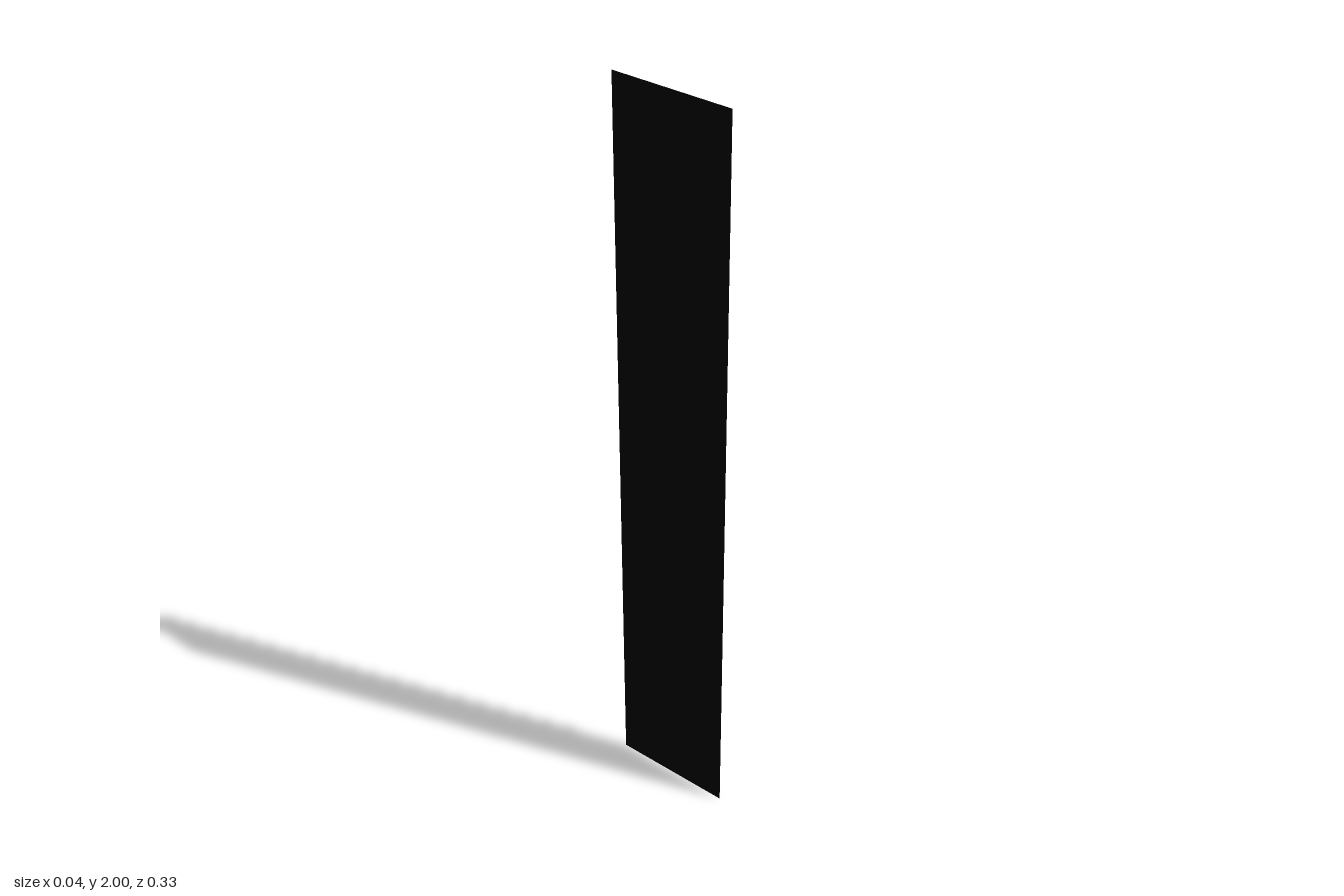
import * as THREE from 'three';

const HEIGHT = 2, WIDTH = 0.333;
const WALL_X = -0.021;          // plane of the wall
const ROD = 0.0053;             // rung rod radius
const BAR_X = 0.021 - ROD;      // centreline of the grip bar
const HALF = 0.0855 - ROD;      // centreline of each leg
const BEND = 0.007;             // corner radius of the rod
const RUNGS = 20, FIRST = 0.333, STEP = 1 / 12;

// Staple-shaped path: leg out of the wall, grip bar, leg back in
function rungPath() {
  const v = (x, z) => new THREE.Vector3(x, 0, z);
  const path = new THREE.CurvePath();
  path.add(new THREE.LineCurve3(v(WALL_X, -HALF), v(BAR_X - BEND, -HALF)));
  path.add(new THREE.QuadraticBezierCurve3(v(BAR_X - BEND, -HALF), v(BAR_X, -HALF), v(BAR_X, -HALF + BEND)));
  path.add(new THREE.LineCurve3(v(BAR_X, -HALF + BEND), v(BAR_X, HALF - BEND)));
  path.add(new THREE.QuadraticBezierCurve3(v(BAR_X, HALF - BEND), v(BAR_X, HALF), v(BAR_X - BEND, HALF)));
  path.add(new THREE.LineCurve3(v(BAR_X - BEND, HALF), v(WALL_X, HALF)));
  return path;
}

export function createModel() {
  const model = new THREE.Group();
  model.name = 'wallLadder';
  const black = new THREE.MeshStandardMaterial({ color: 0x000000, side: THREE.DoubleSide });

  // Thin wall panel, facing +x
  const wall = new THREE.Mesh(new THREE.PlaneGeometry(WIDTH, HEIGHT), black);
  wall.name = 'wallPanel';
  wall.rotation.y = Math.PI / 2;
  wall.position.set(WALL_X, HEIGHT / 2, 0);
  model.add(wall);

  // Evenly spaced rungs
  const rungGeometry = new THREE.TubeGeometry(rungPath(), 96, ROD, 10);
  for (let i = 0; i < RUNGS; i++) {
    const rung = new THREE.Mesh(rungGeometry, black);
    rung.name = `rung${i + 1}`;
    rung.position.y = FIRST + i * STEP;
    model.add(rung);
  }
  return model;
}
